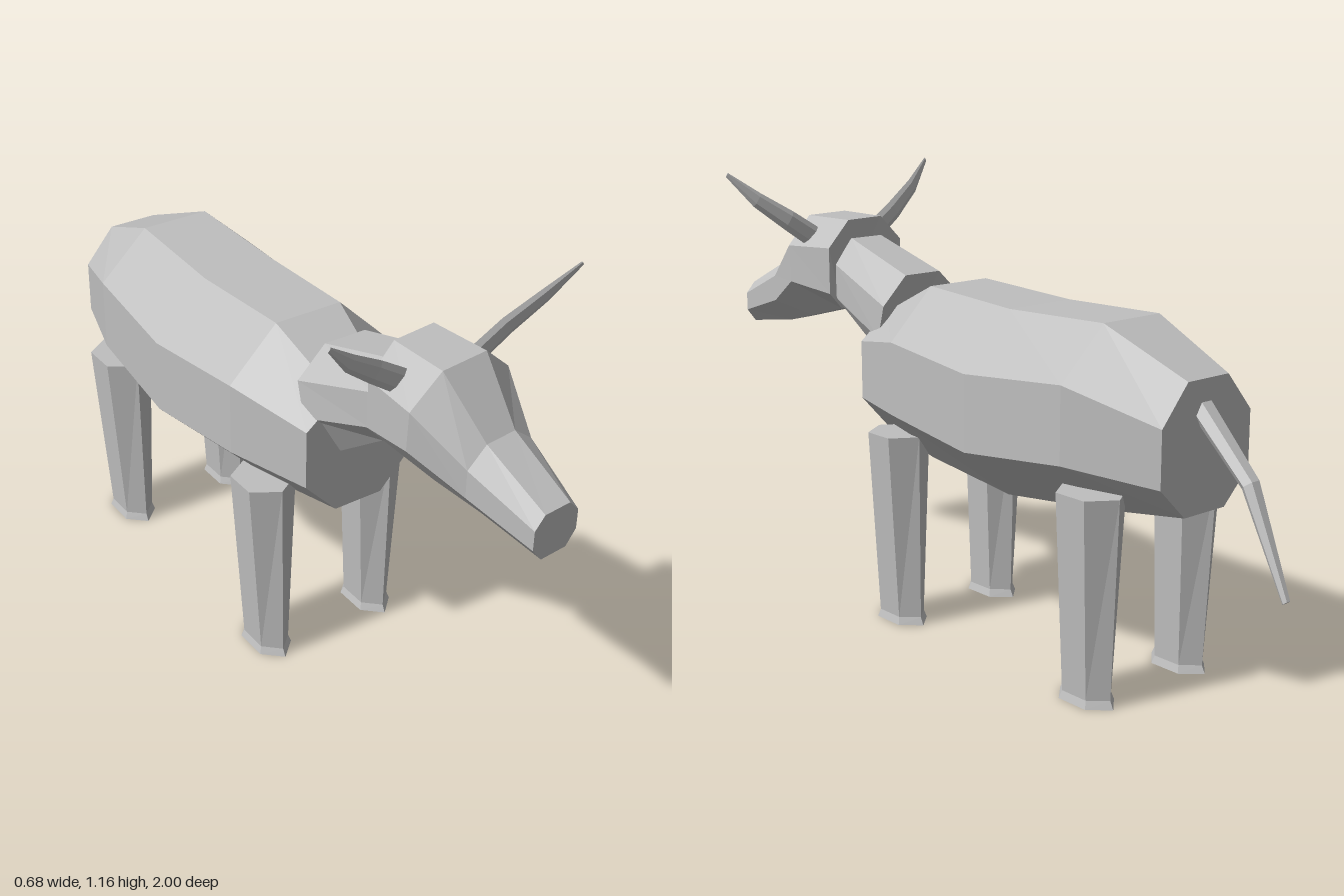
import * as THREE from 'three';

const hide = new THREE.MeshStandardMaterial({ color: 0xbfbfbf, flatShading: true });
hide.name = 'grey hide';
const MID = -0.017; // centre line of the body

// Skins a list of rings (equal point counts) and closes both ends; faces always point outwards.
function loft(name, rings) {
  const tris = [], n = rings[0].length;
  for (let r = 0; r + 1 < rings.length; r++) {
    const a = rings[r], b = rings[r + 1];
    for (let i = 0; i < n; i++) {
      const j = (i + 1) % n;
      tris.push([a[i], a[j], b[j]], [a[i], b[j], b[i]]);
    }
  }
  const first = rings[0], last = rings[rings.length - 1];
  for (let i = 1; i + 1 < n; i++) {
    tris.push([first[0], first[i + 1], first[i]], [last[0], last[i], last[i + 1]]);
  }
  const volume = tris.reduce((s, [a, b, c]) => s + a.dot(b.clone().cross(c)), 0);
  if (volume < 0) tris.forEach((t) => t.reverse());
  const geometry = new THREE.BufferGeometry().setFromPoints(tris.flat());
  geometry.computeVertexNormals();
  const mesh = new THREE.Mesh(geometry, hide);
  mesh.name = name;
  return mesh;
}

// Octagon across z. ys and zs run top, upper side, lower side, bottom; yaw skews z along x.
function octagon(cx, half, inner, ys, zs, yaw = 0) {
  const z = Array.isArray(zs) ? zs : [zs, zs, zs, zs];
  const right = [[inner, 3], [half, 2], [half, 1], [inner, 0]];
  const left = right.map(([x, k]) => [-x, k]).reverse();
  return [...right, ...left].map(([x, k]) => new THREE.Vector3(cx + x, ys[k], z[k] - yaw * x));
}

// Upright leg ring with a vertex at front and back
function legRing(cx, y, cz, hx, hz) {
  return Array.from({ length: 6 }, (_, i) => {
    const a = (i * Math.PI) / 3;
    return new THREE.Vector3(cx + (hx * Math.sin(a)) / 0.866, y, cz + hz * Math.cos(a));
  });
}

// Ring around a point, spanned by two axes
function ringAt(p, u, v, ru, rv, n = 6) {
  return Array.from({ length: n }, (_, i) => {
    const a = (i * 2 * Math.PI) / n;
    return new THREE.Vector3(...p)
      .addScaledVector(u, ru * Math.cos(a))
      .addScaledVector(v, rv * Math.sin(a));
  });
}

export function createModel() {
  const model = new THREE.Group();
  model.name = 'hornedCow';

  // Barrel body, rump to chest
  model.add(loft('body', [
    octagon(MID, 0.148, 0.067, [0.795, 0.7, 0.56, 0.48], -0.71),
    octagon(MID, 0.227, 0.093, [0.895, 0.77, 0.58, 0.45], -0.47),
    octagon(MID, 0.247, 0.1, [0.885, 0.745, 0.55, 0.415], -0.155),
    octagon(MID, 0.225, 0.093, [0.9, 0.77, 0.58, 0.445], 0.155),
    octagon(MID, 0.155, 0.067, [0.8, 0.73, 0.575, 0.48], 0.375),
  ]));

  // Neck, rising towards the head
  model.add(loft('neck', [
    octagon(MID, 0.133, 0.057, [0.905, 0.83, 0.74, 0.645], [0.305, 0.305, 0.33, 0.375]),
    octagon(-0.012, 0.105, 0.05, [0.978, 0.91, 0.815, 0.75], [0.545, 0.545, 0.54, 0.52]),
    octagon(-0.01, 0.08, 0.04, [0.97, 0.91, 0.83, 0.79], 0.59),
  ]));

  // Head, turned slightly to its left
  model.add(loft('head', [
    octagon(-0.007, 0.133, 0.06, [1.03, 0.96, 0.835, 0.78], [0.545, 0.545, 0.545, 0.585], 0.11),
    octagon(0.005, 0.15, 0.066, [1.03, 0.955, 0.855, 0.748], [0.705, 0.695, 0.69, 0.7], 0.11),
    octagon(0.02, 0.098, 0.043, [0.893, 0.85, 0.78, 0.715], 0.82, 0.11),
    octagon(0.035, 0.065, 0.037, [0.805, 0.775, 0.725, 0.69], 0.993, 0.08),
  ]));

  // Flattened horns sweeping out, up and forward
  const hornPath = [
    [0.085, 0.965, 0.628, 0.031], [0.18, 1.03, 0.638, 0.028],
    [0.265, 1.09, 0.66, 0.021], [0.339, 1.16, 0.689, 0.006],
  ];
  for (const side of [1, -1]) {
    const across = new THREE.Vector3(-0.57 * side, 0.82, 0);
    const depth = new THREE.Vector3(0, 0, 1);
    model.add(loft(side > 0 ? 'leftHorn' : 'rightHorn',
      hornPath.map(([x, y, z, r]) => ringAt([x * side, y, z], across, depth, r, r * 0.28))));
  }

  // Tapered legs with small flared hooves
  for (const side of [1, -1]) {
    for (const [end, topZ, footZ, topDepth] of [['Front', 0.205, 0.208, 0.085], ['Rear', -0.51, -0.5, 0.093]]) {
      const topX = MID + 0.165 * side, footX = MID + 0.16 * side;
      const name = (side > 0 ? 'left' : 'right') + end;
      model.add(loft(name + 'Leg', [
        legRing(footX, 0.02, footZ, 0.042, 0.08),
        legRing(topX, 0.518, topZ, 0.068, topDepth),
      ]));
      model.add(loft(name + 'Hoof', [
        legRing(footX, 0, footZ, 0.048, 0.09),
        legRing(footX, 0.02, footZ, 0.042, 0.08),
      ]));
    }
  }

  // Hanging tail
  const sideways = new THREE.Vector3(1, 0, 0);
  const lift = new THREE.Vector3(0, 0.6, -0.8);
  model.add(loft('tail', [
    [-0.013, 0.73, -0.69, 0.032], [0.006, 0.585, -0.86, 0.025], [0.033, 0.355, -0.993, 0.011],
  ].map(([x, y, z, r]) => ringAt([x, y, z], sideways, lift, r, r * 0.8))));

  return model;
}
